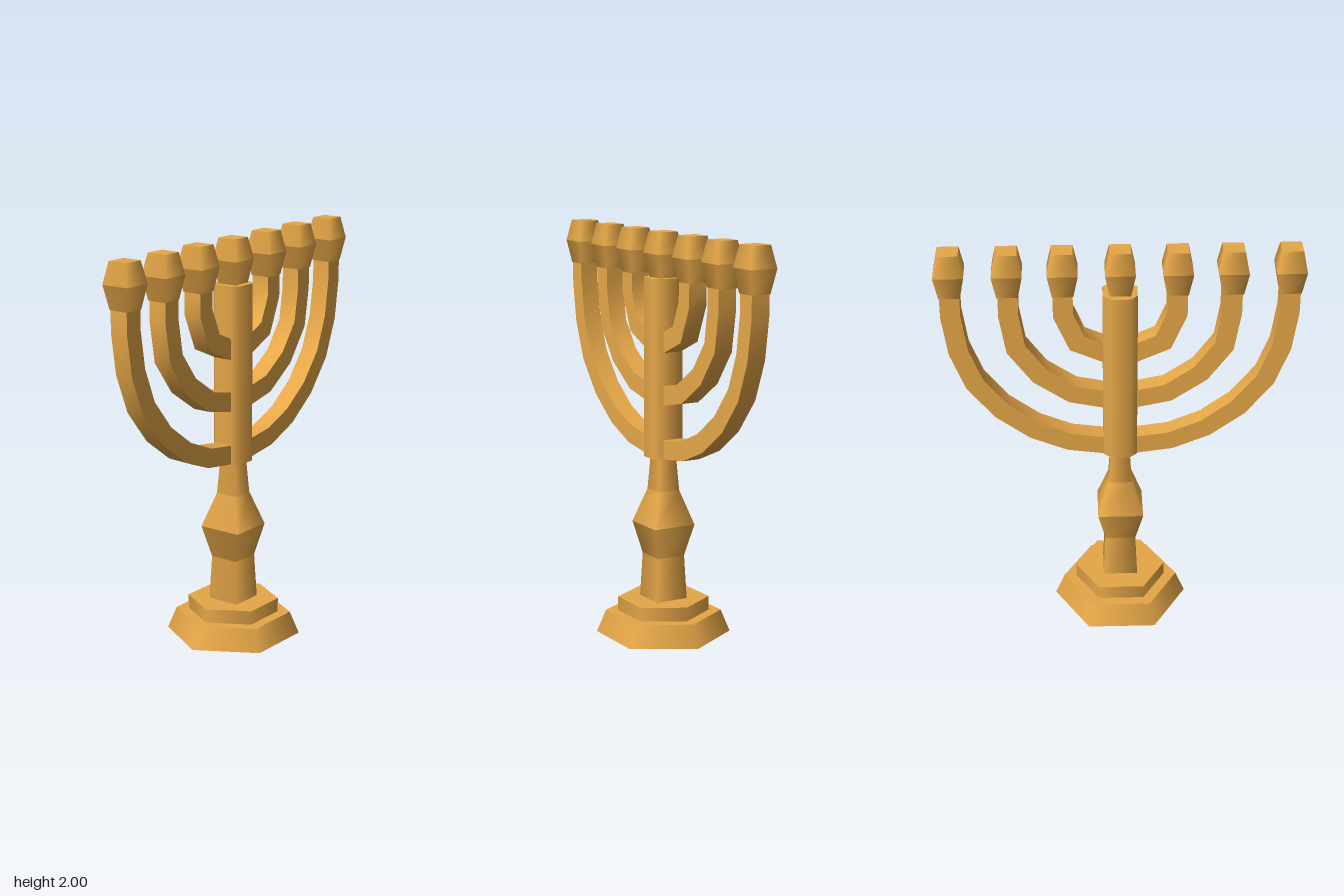
import * as THREE from 'three';
import { toCreasedNormals } from 'three/addons/utils/BufferGeometryUtils.js';

export function createModel() {
  const gold = new THREE.MeshStandardMaterial({ color: 0xe6a748 });
  gold.name = 'gold';
  const grey = new THREE.MeshStandardMaterial({ color: 0xbcbcbe });
  grey.name = 'undersideGrey';

  const model = new THREE.Group();
  model.name = 'candelabrum';

  // Smooth-sided prism section between two heights
  function section(name, parent, sides, rBottom, rTop, y0, y1, turn, material = gold) {
    const geometry = new THREE.CylinderGeometry(rTop, rBottom, y1 - y0, sides);
    geometry.rotateY(turn);
    geometry.translate(0, (y0 + y1) / 2, 0);
    const mesh = new THREE.Mesh(geometry, material);
    mesh.name = name;
    parent.add(mesh);
    return mesh;
  }

  // Stack of square sections from [height, half width] pairs
  function squareStack(name, profile) {
    const group = new THREE.Group();
    group.name = name;
    for (let i = 0; i < profile.length - 1; i++) {
      const [y0, w0] = profile[i];
      const [y1, w1] = profile[i + 1];
      section(name + 'Section', group, 4, w0 * Math.SQRT2, w1 * Math.SQRT2, y0, y1, Math.PI / 4);
    }
    model.add(group);
    return group;
  }

  // Hexagonal stepped base with a grey underside
  section('baseLower', model, 6, 0.333, 0.287, 0, 0.11, Math.PI / 6, [gold, gold, grey]);
  section('baseUpper', model, 6, 0.226, 0.226, 0.11, 0.18, Math.PI / 6);

  // Square stem with a knop
  squareStack('stem', [[0.18, 0.085], [0.4, 0.075], [0.56, 0.112], [0.73, 0.057], [0.893, 0.046]]);

  // Pillar: an octagon pushed out to a square with chamfered corners
  const pillar = section('pillar', model, 8, 0.088, 0.088, 0.897, 1.78, Math.PI / 8);
  const corners = pillar.geometry.attributes.position;
  for (let i = 0; i < corners.count; i++) {
    const x = corners.getX(i);
    const z = corners.getZ(i);
    const wide = Math.abs(x) > Math.abs(z);
    corners.setX(i, Math.sign(x) * (wide ? 0.082 : 0.046));
    corners.setZ(i, Math.sign(z) * (wide ? 0.046 : 0.082));
  }

  // Curved arm: a bent strip of constant width around a centre line, extruded in z
  function arm(path, side) {
    const half = 0.047;
    const pts = path.map(([x, y]) => new THREE.Vector2(x * side, y));
    const inner = [];
    const outer = [];
    pts.forEach((p, i) => {
      const before = p.clone().sub(pts[Math.max(i - 1, 0)]).normalize();
      const after = pts[Math.min(i + 1, pts.length - 1)].clone().sub(p).normalize();
      const tangent = before.clone().add(after).normalize();
      const miter = half / Math.max(tangent.dot(after), tangent.dot(before));
      const offset = new THREE.Vector2(-tangent.y, tangent.x).multiplyScalar(miter);
      inner.push(p.clone().add(offset));
      outer.push(p.clone().sub(offset));
    });
    const shape = new THREE.Shape([...inner, ...outer.reverse()]);
    const geometry = new THREE.ExtrudeGeometry(shape, { depth: 0.094, bevelEnabled: false });
    geometry.translate(0, 0, -0.047);
    const mesh = new THREE.Mesh(toCreasedNormals(geometry, 0.8), gold);
    mesh.name = side > 0 ? 'leftArm' : 'rightArm';
    model.add(mesh);
  }

  const arms = [
    [[0.06, 1.465], [0.203, 1.528], [0.268, 1.68], [0.268, 1.78]],
    [[0.06, 1.21], [0.228, 1.245], [0.383, 1.35], [0.493, 1.5], [0.523, 1.68], [0.523, 1.78]],
    [[0.06, 0.945], [0.245, 0.97], [0.415, 1.04], [0.57, 1.155], [0.695, 1.31],
      [0.765, 1.49], [0.793, 1.68], [0.793, 1.78]],
  ];
  for (const path of arms) for (const side of [-1, 1]) arm(path, side);

  // Seven square candle cups
  for (const x of [-0.793, -0.525, -0.268, 0, 0.268, 0.525, 0.793]) {
    squareStack('cup', [[1.78, 0.05], [1.895, 0.071], [2, 0.05]]).position.x = x;
  }

  return model;
}
